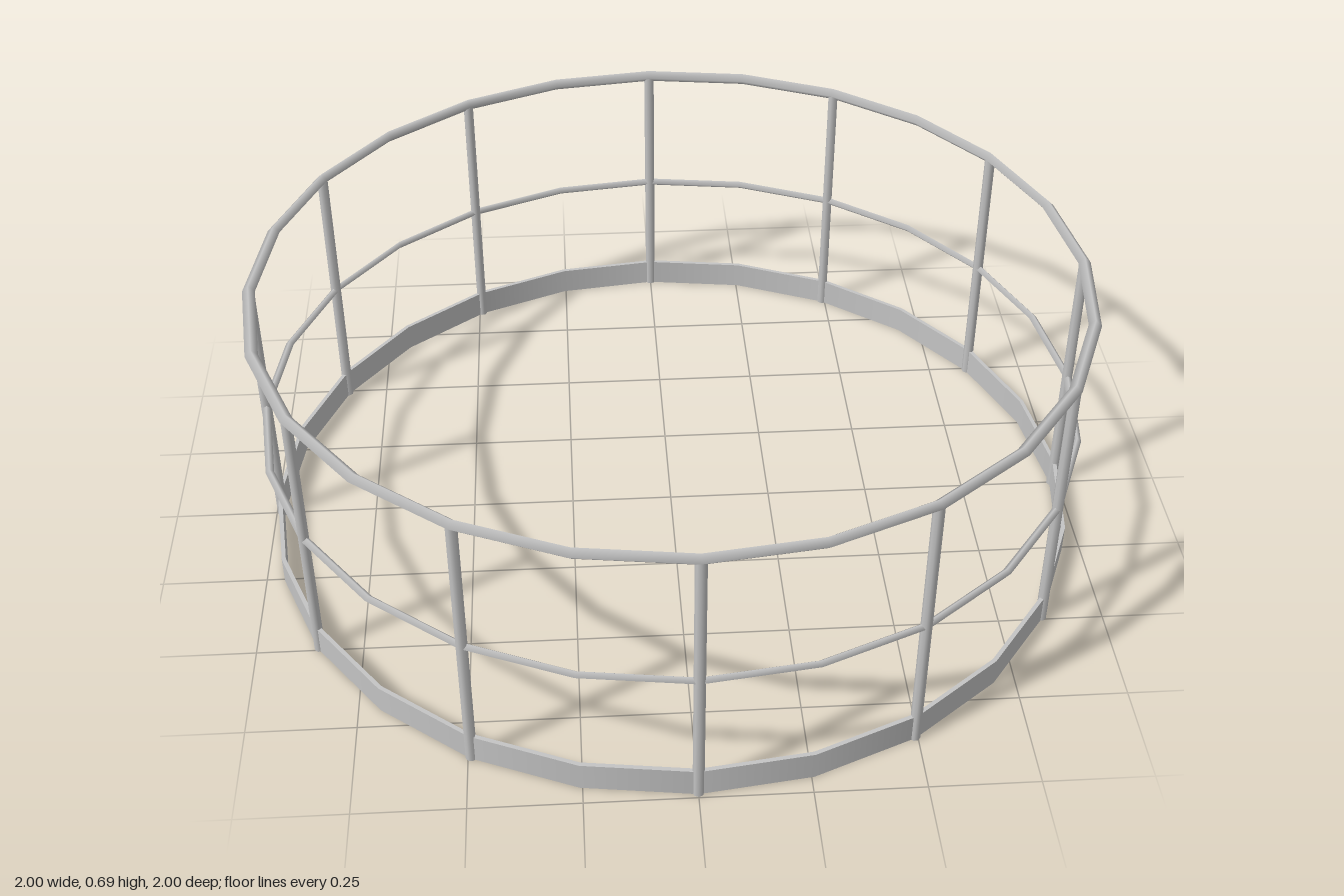
import * as THREE from 'three';

const RADIUS = 0.985;
const SIDES = 24;
const POSTS = 12;

export function createModel() {
  const group = new THREE.Group();
  const steel = new THREE.MeshStandardMaterial({ color: 0xc4c4c4, side: THREE.DoubleSide });
  steel.name = 'light grey steel';

  const add = (name, geometry, y, parent = group) => {
    const mesh = new THREE.Mesh(geometry, steel);
    mesh.name = name;
    mesh.position.y = y;
    parent.add(mesh);
    return mesh;
  };

  // Horizontal hoops: diamond-section bars bent round 24 straight runs
  const hoop = (bar) => new THREE.TorusGeometry(RADIUS, bar, 4, SIDES).rotateX(Math.PI / 2);
  add('topRail', hoop(0.015), 0.68);
  add('midRail', hoop(0.01), 0.342);

  // Toe board: thin upright band with inner and outer walls and closed rims
  const toeBoard = new THREE.Group();
  toeBoard.name = 'toeBoard';
  group.add(toeBoard);
  const height = 0.07, inner = RADIUS - 0.005, outer = RADIUS + 0.005;
  const wall = (r) => new THREE.CylinderGeometry(r, r, height, SIDES, 1, true);
  const rim = (turn) => new THREE.RingGeometry(inner, outer, SIDES).rotateX(turn * Math.PI / 2);
  add('toeBoardOuterWall', wall(outer), height / 2, toeBoard);
  add('toeBoardInnerWall', wall(inner), height / 2, toeBoard);
  add('toeBoardTopRim', rim(-1), height, toeBoard);
  add('toeBoardBottomRim', rim(1), 0, toeBoard);

  // Upright posts, one at every second corner of the hoops
  const postGeometry = new THREE.CylinderGeometry(0.013, 0.013, 0.68, 8);
  for (let i = 0; i < POSTS; i++) {
    const a = (i / POSTS) * Math.PI * 2;
    const post = add('post', postGeometry, 0.34);
    post.position.x = RADIUS * Math.sin(a);
    post.position.z = RADIUS * Math.cos(a);
    post.rotation.y = a;
  }

  return group;
}
